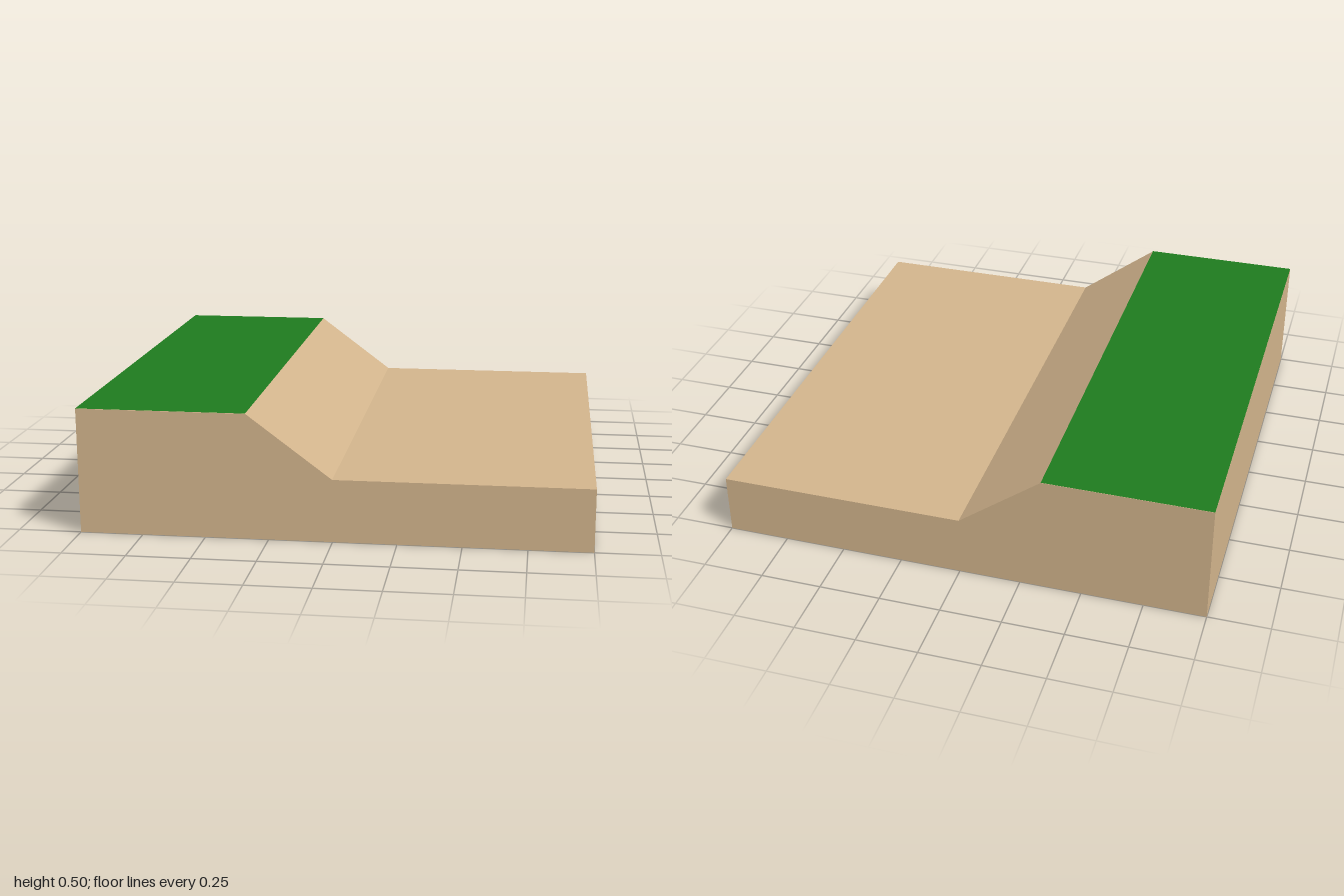
import * as THREE from 'three';

const LENGTH = 2;
const TOP = 0.5;
const LOW = 0.25;
const CREST = -1 / 3; // x where the bank starts to fall

export function createModel() {
  const model = new THREE.Group();
  model.name = 'terrainTile';

  // Earth: raised shelf, sloping bank and low ground, extruded along z
  const profile = new THREE.Shape([
    [-1, 0], [1, 0], [1, LOW], [0, LOW], [CREST, TOP], [-1, TOP],
  ].map(([x, y]) => new THREE.Vector2(x, y)));
  const earthGeometry = new THREE.ExtrudeGeometry(profile, { depth: LENGTH, bevelEnabled: false });
  earthGeometry.translate(0, 0, -LENGTH / 2);
  const earth = new THREE.Mesh(
    earthGeometry,
    new THREE.MeshStandardMaterial({ color: 0xd2b48c, flatShading: true }),
  );
  earth.name = 'earth';
  model.add(earth);

  // Grass: a sheet covering the raised shelf, lifted just clear of the earth
  const width = CREST + 1;
  const grass = new THREE.Mesh(
    new THREE.PlaneGeometry(width, LENGTH).rotateX(-Math.PI / 2),
    new THREE.MeshStandardMaterial({ color: 0x1e7b1e }),
  );
  grass.name = 'grass';
  grass.position.set(-1 + width / 2, TOP + 0.001, 0);
  model.add(grass);

  return model;
}
